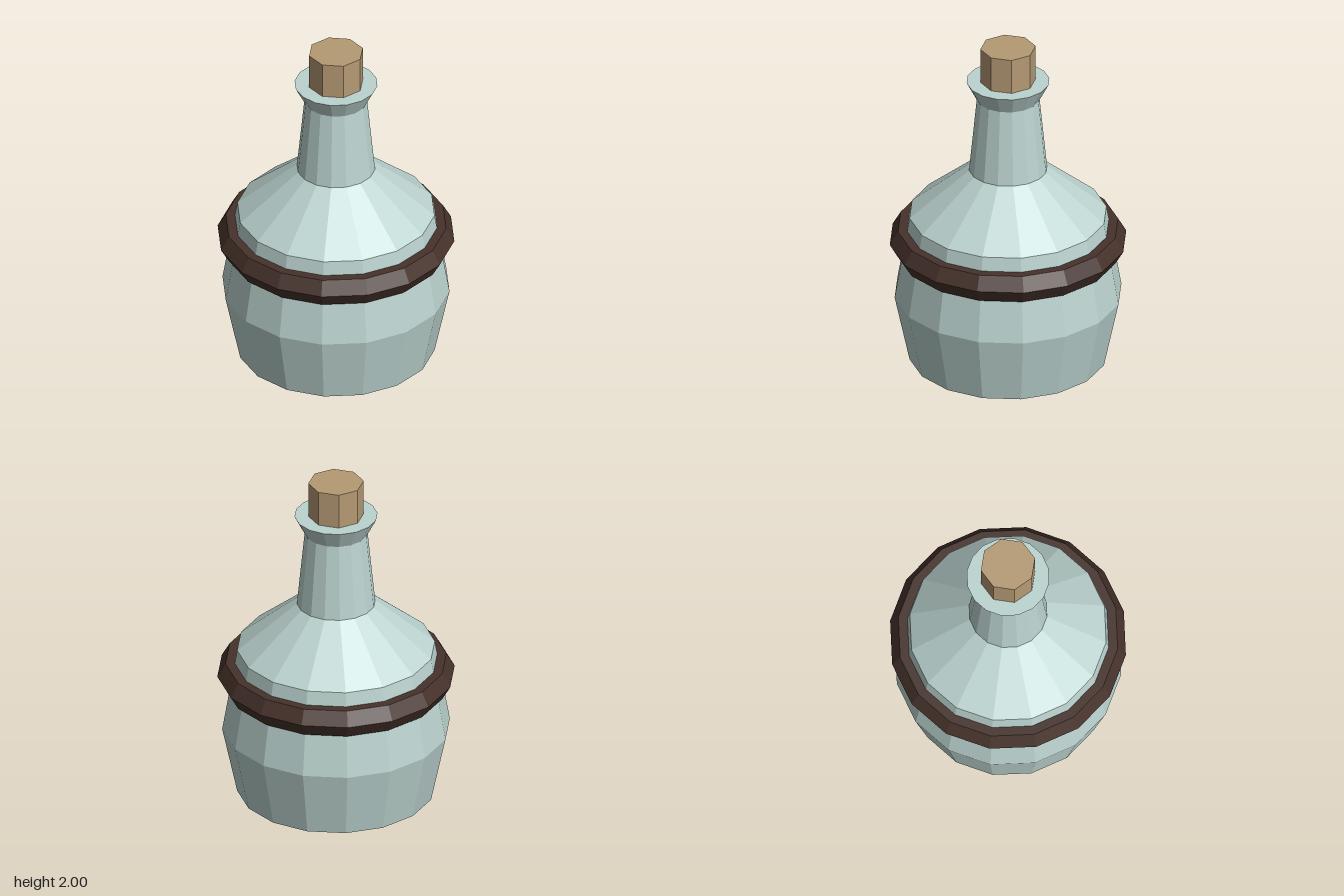
import * as THREE from 'three';

function flat(name, color) {
  const m = new THREE.MeshStandardMaterial({ color });
  m.name = name;
  m.flatShading = true;
  return m;
}

export function createModel() {
  const group = new THREE.Group();
  group.name = 'corkedBottle';
  const add = (name, geometry, material, y = 0) => {
    const mesh = new THREE.Mesh(geometry, material);
    mesh.name = name;
    mesh.position.y = y;
    group.add(mesh);
    return mesh;
  };

  const glass = flat('paleGlass', 0xbcd4d0);
  const leather = flat('darkLeather', 0x46322b);
  const cork = flat('cork', 0xb59a74);

  // Glass body: shallow pointed base, belly, shoulder, neck and closed lip
  const profile = [
    [0, 0.005], [0.56, 0.05], [0.645, 0.45], [0.56, 0.95],
    [0.222, 1.232], [0.178, 1.68], [0.235, 1.79], [0, 1.79],
  ].map(([r, y]) => new THREE.Vector2(r, y));
  add('bottle', new THREE.LatheGeometry(profile, 16), glass);

  // Six-sided band around the upper belly
  const band = new THREE.TorusGeometry(0.579, 0.0935, 6, 16);
  band.rotateX(Math.PI / 2);
  add('band', band, leather, 0.787);

  // Eight-sided stopper, sunk into the lip
  add('stopper', new THREE.CylinderGeometry(0.157, 0.157, 0.26, 8), cork, 1.87);

  return group;
}
